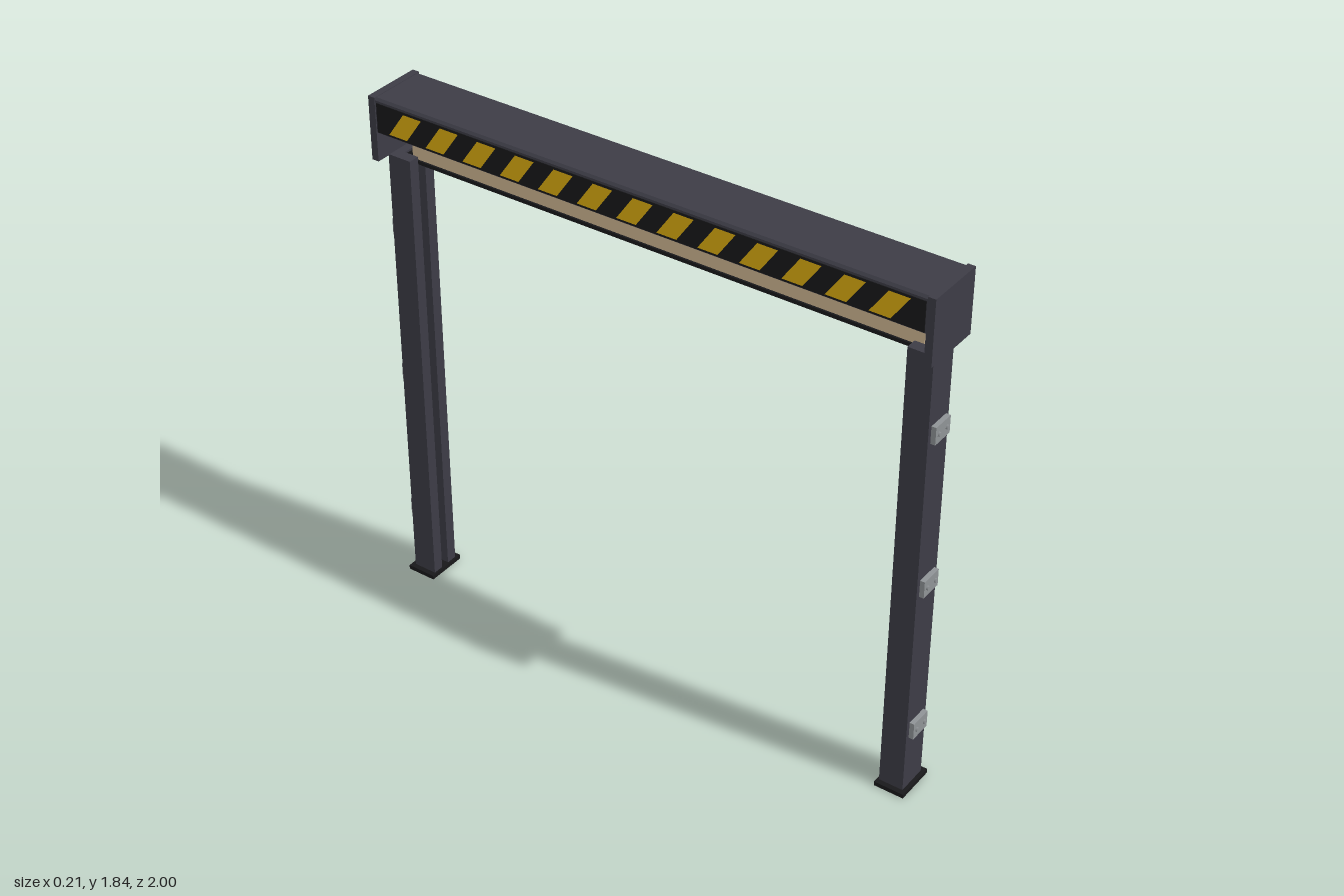
import * as THREE from 'three';

const mat = (name, color) => {
  const m = new THREE.MeshStandardMaterial({ color });
  m.name = name;
  return m;
};

export function createModel() {
  const frame = mat('charcoal frame', 0x3d3c46);
  const black = mat('black', 0x18181a);
  const steel = mat('galvanised steel', 0x8f9396);
  const yellow = mat('warning yellow', 0xe0b010);
  const tan = mat('tan curtain', 0xd2b994);

  const model = new THREE.Group();
  model.name = 'rollerGate';

  const add = (parent, name, geometry, material, x = 0, y = 0, z = 0) => {
    const mesh = new THREE.Mesh(geometry, material);
    mesh.name = name;
    mesh.position.set(x, y, z);
    parent.add(mesh);
    return mesh;
  };
  const box = (parent, name, material, w, h, d, x, y, z) =>
    add(parent, name, new THREE.BoxGeometry(w, h, d), material, x, y, z);
  const polygon = (pts) => new THREE.Shape(pts.map(([x, y]) => new THREE.Vector2(x, y)));

  // Header cover: folded sheet, full height at one side, short lintel at the other, open below
  const cover = polygon([
    [0.105, 1.622], [0.105, 1.83], [0.098, 1.838], [-0.096, 1.838], [-0.103, 1.83],
    [-0.103, 1.72], [-0.091, 1.72], [-0.091, 1.826], [0.093, 1.826], [0.093, 1.622],
  ]);
  add(model, 'headerCover',
    new THREE.ExtrudeGeometry(cover, { depth: 1.95, bevelEnabled: false }), frame, 0, 0, -0.975);

  // Hazard strip on the lintel
  box(model, 'hazardPanel', black, 0.003, 0.1, 1.94, -0.104, 1.773, 0);
  const stripe = new THREE.ShapeGeometry(
    polygon([[-0.065, -0.043], [0.005, -0.043], [0.065, 0.043], [-0.005, 0.043]]));
  stripe.rotateY(-Math.PI / 2);
  for (let i = -6; i <= 6; i++) {
    add(model, 'hazardStripe', stripe, yellow, -0.1065, 1.773, i * 0.143);
  }

  // Curtain roll, hanging curtain and bottom bar
  const roll = new THREE.CylinderGeometry(0.065, 0.065, 1.9, 24);
  roll.rotateX(Math.PI / 2);
  add(model, 'curtainRoll', roll, tan, 0, 1.75, 0);
  box(model, 'curtain', tan, 0.016, 0.14, 1.84, 0, 1.675, 0);
  box(model, 'bottomBar', black, 0.03, 0.012, 1.8, 0, 1.601, 0);

  // Leg section: channel with a guide slot facing inwards (shape y is -z)
  const channel = polygon([
    [-0.055, -0.978], [0.055, -0.978], [0.055, -0.893], [0.016, -0.893],
    [0.016, -0.945], [-0.016, -0.945], [-0.016, -0.893], [-0.055, -0.893],
  ]);
  const legGeometry = new THREE.ExtrudeGeometry(channel, { depth: 1.61, bevelEnabled: false });
  legGeometry.rotateX(-Math.PI / 2);
  const bolt = new THREE.CylinderGeometry(0.008, 0.008, 0.006, 6);
  bolt.rotateX(Math.PI / 2);

  // Each end: cap, leg, foot and wall brackets
  for (const side of ['front', 'back']) {
    const end = new THREE.Group();
    end.name = side + 'End';
    if (side === 'back') end.rotation.y = Math.PI;
    model.add(end);

    box(end, 'endCap', frame, 0.212, 0.22, 0.025, 0, 1.73, 0.9875);
    add(end, 'leg', legGeometry, frame, 0, 0.012, 0);
    box(end, 'slotLining', black, 0.032, 1.6, 0.004, 0, 0.815, 0.943);
    box(end, 'footPlate', black, 0.146, 0.015, 0.105, 0, 0.0075, 0.9385);

    for (const y of [0.25, 0.8, 1.35]) {
      box(end, 'wallBracket', steel, 0.08, 0.06, 0.018, 0, y, 0.985);
      for (const x of [-0.022, 0.022]) add(end, 'bracketBolt', bolt, steel, x, y, 0.997);
    }
  }
  return model;
}
